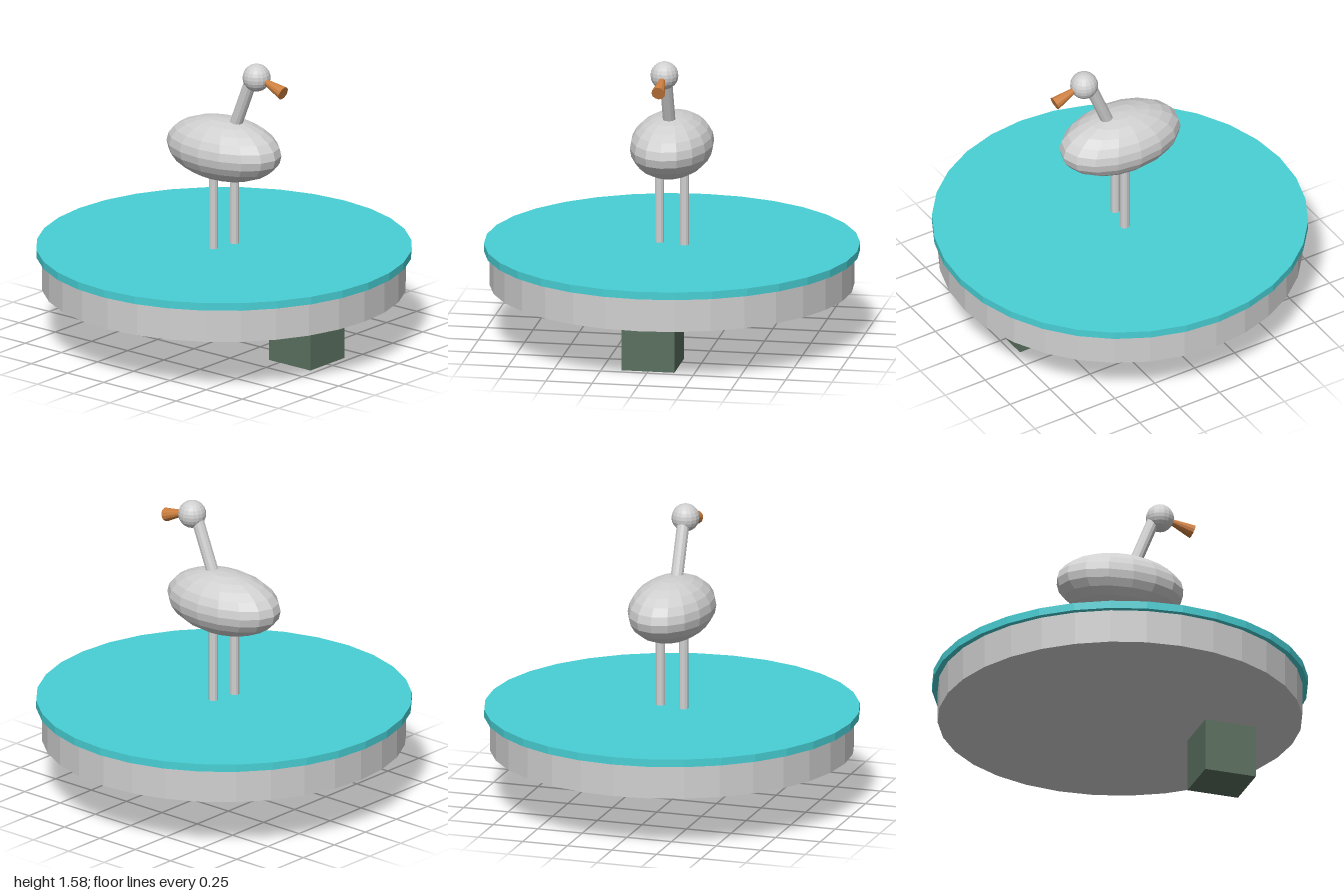
import * as THREE from 'three';

export function createModel() {
  const model = new THREE.Group();
  model.name = 'birdOnTurntable';

  const mat = (name, color) => {
    const m = new THREE.MeshStandardMaterial({ color, flatShading: true });
    m.name = name;
    return m;
  };
  const grey = mat('pale grey', 0xd0d0d0);
  const teal = mat('turquoise', 0x48d0d5);
  const orange = mat('beak orange', 0xcd7f3f);
  const green = mat('dull green', 0x5a705f);

  const add = (name, geometry, material, x, y, z) => {
    const mesh = new THREE.Mesh(geometry, material);
    mesh.name = name;
    mesh.position.set(x, y, z);
    model.add(mesh);
    return mesh;
  };

  // Tapered rod running between two points
  const rod = (name, from, to, r0, r1, sides, material) => {
    const a = new THREE.Vector3(...from);
    const b = new THREE.Vector3(...to);
    const dir = b.clone().sub(a);
    const mid = a.clone().add(b).multiplyScalar(0.5);
    const mesh = add(name, new THREE.CylinderGeometry(r1, r0, dir.length(), sides), material, mid.x, mid.y, mid.z);
    mesh.quaternion.setFromUnitVectors(new THREE.Vector3(0, 1, 0), dir.normalize());
    return mesh;
  };

  // Turntable: block under the front, drum and overhanging top
  add('supportBlock', new THREE.BoxGeometry(0.285, 0.29, 0.285), green, 0, 0.145, 0.573);
  add('drum', new THREE.CylinderGeometry(0.97, 0.97, 0.185, 32), grey, 0, 0.3825, 0);
  add('topDisc', new THREE.CylinderGeometry(1, 1, 0.042, 32), teal, 0, 0.495, 0);

  // Legs, slightly staggered front to back
  for (const side of [-1, 1]) {
    rod(side > 0 ? 'leftLeg' : 'rightLeg',
      [side * 0.07, 0.5, side * 0.014], [side * 0.07, 0.98, side * 0.014], 0.025, 0.025, 12, grey);
  }

  // Egg-shaped body
  const body = add('body', new THREE.SphereGeometry(1, 16, 12), grey, 0, 1.06, 0);
  body.scale.set(0.22, 0.17, 0.354);

  // Leaning neck, head, and a beak that widens outward
  rod('neck', [0, 1.15, 0.057], [0, 1.49, 0.193], 0.034, 0.034, 12, grey);
  add('head', new THREE.SphereGeometry(0.075, 16, 12), grey, 0, 1.5, 0.225);
  rod('beak', [0, 1.515, 0.21], [0, 1.449, 0.409], 0.002, 0.037, 12, orange);

  return model;
}
